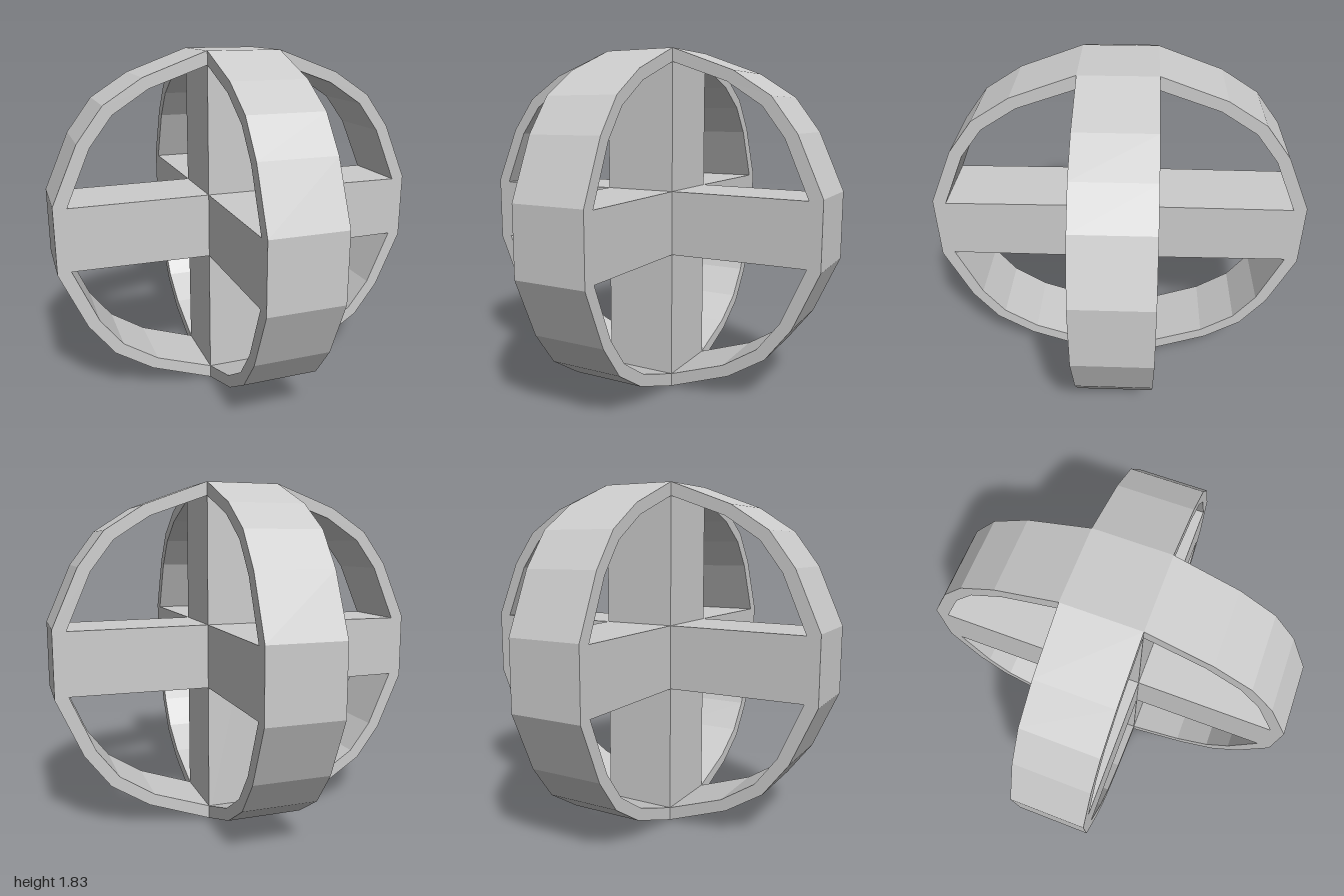
import * as THREE from 'three';

const HALF = 0.197;   // half width of the post and of every rim band
const MID = 0.9125;   // height of the centre

// Upper-quadrant profiles as [distance from axis, height above centre]
const OUTER = [[HALF, 0.9125], [0.53, 0.79], [0.73, 0.662], [0.865, 0.483], [1, 0.178]];
const INNER = [[0.93, 0.167], [0.803, 0.46], [0.685, 0.615], [0.5, 0.735], [HALF, 0.842]];
const SPOKE = [HALF, 0.171];

const flip = (points) => points.map(([x, y]) => [x, -y]).reverse();

// E-shaped half wheel: rim arc with one horizontal spoke
function armGeometry() {
  const outline = [
    ...OUTER, ...flip(OUTER),
    ...flip(INNER), ...flip([SPOKE]),
    SPOKE, ...INNER,
  ];
  const shape = new THREE.Shape(outline.map(([x, y]) => new THREE.Vector2(x, y)));
  const geometry = new THREE.ExtrudeGeometry(shape, { depth: 2 * HALF, bevelEnabled: false });
  return geometry.translate(0, 0, -HALF);
}

export function createModel() {
  const model = new THREE.Group();
  model.name = 'crossedWheels';
  const material = new THREE.MeshStandardMaterial({ color: 0xcccccc, flatShading: true });

  // Square post through the middle
  const post = new THREE.Mesh(new THREE.BoxGeometry(2 * HALF, 2 * MID, 2 * HALF), material);
  post.name = 'centrePost';
  post.position.y = MID;
  model.add(post);

  // Four half wheels around the post
  const geometry = armGeometry();
  ['leftHalfWheel', 'backHalfWheel', 'rightHalfWheel', 'frontHalfWheel'].forEach((name, i) => {
    const arm = new THREE.Mesh(geometry, material);
    arm.name = name;
    arm.position.y = MID;
    arm.rotation.y = (i * Math.PI) / 2;
    model.add(arm);
  });

  return model;
}
